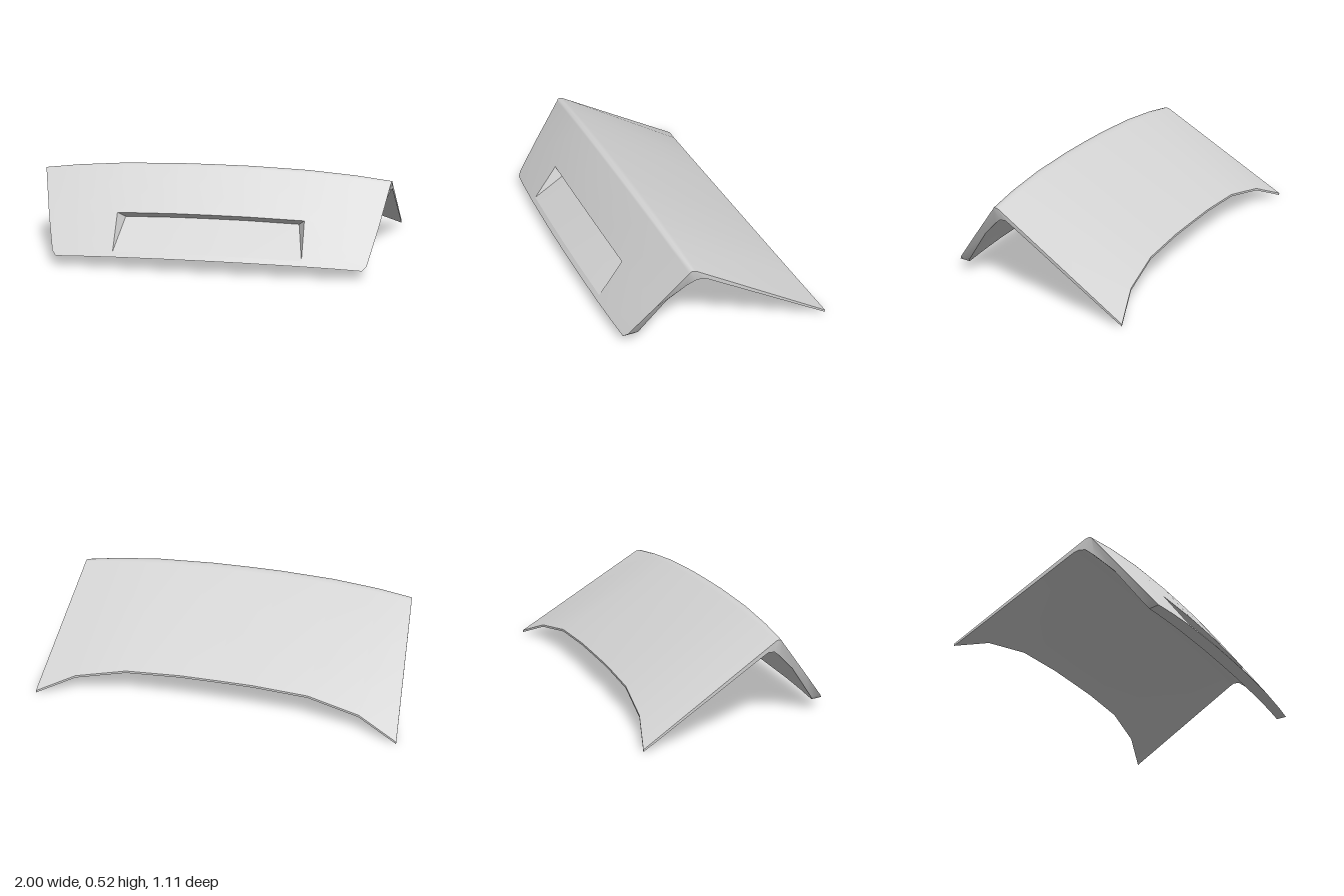
import * as THREE from 'three';
import { toCreasedNormals } from 'three/addons/utils/BufferGeometryUtils.js';

const RECESS_HALF = 0.505;

// Profile rows: [centre z, centre y, edge z, edge y, half width, bow exponent]
const mixRow = (a, b, t, halfWidth) => {
  const row = a.map((v, k) => v + (b[k] - v) * t);
  row[4] = halfWidth;
  return row;
};
const bottom = [0.555, 0.08, 0.525, 0.058, 0.82, 2.5];
const ridgeStart = [0.242, 0.508, 0.217, 0.447, 0.945, 2.5];
const innerBottom = [0.488, 0.07, 0.47, 0.052, 0.815, 2.5];
const innerMid = [0.316, 0.277, 0.31, 0.272, 0.888, 2.5];
const rows = [
  // outer skin, from the lower lip over the ridge to the deck edge
  bottom,
  mixRow(bottom, ridgeStart, 0.058, 0.843),
  mixRow(bottom, ridgeStart, 0.485, 0.893),
  ridgeStart,
  [0.234, 0.517, 0.209, 0.458, 0.949, 2.5],
  [0.212, 0.518, 0.196, 0.46, 0.95, 2.5],
  [0.188, 0.509, 0.181, 0.456, 0.951, 2.5],
  [-0.447, 0.167, -0.557, 0.012, 1, 3.7],
  // inner skin, back to the lower lip; nearly straight from side to side
  [-0.447, 0.155, -0.557, 0, 1, 3.7],
  [0.115, 0.428, 0.115, 0.39, 0.955, 2.5],
  [0.142, 0.434, 0.14, 0.4, 0.95, 2.5],
  [0.18, 0.425, 0.175, 0.397, 0.945, 2.5],
  [0.222, 0.387, 0.217, 0.363, 0.925, 2.5],
  innerMid,
  mixRow(innerBottom, innerMid, 0.12, 0.843),
  innerBottom,
];
const RECESS_LOW = 1, RECESS_TOP = 2;

// Columns: fixed across the recess, then spread out to each row's own width
const half = [
  ...[0, 0.2, RECESS_HALF].map((x) => () => x),
  ...[0.57, 1].map((t) => (w) => RECESS_HALF + (w - RECESS_HALF) * t),
];
const columns = [
  ...half.slice(1).reverse().map((f) => (w) => -f(w)),
  ...half,
];
const recessFirst = 2, recessLast = 6;

function surfacePoint(i, j) {
  const [zc, yc, ze, ye, w, p] = rows[j];
  const x = columns[i](w);
  const bow = Math.pow(Math.abs(x) / w, p);
  return [x, yc + (ye - yc) * bow, zc + (ze - zc) * bow];
}

function buildGeometry(faces) {
  const positions = [];
  for (const f of faces) {
    for (let k = 1; k < f.length - 1; k++) positions.push(...f[0], ...f[k], ...f[k + 1]);
  }
  const g = new THREE.BufferGeometry();
  g.setAttribute('position', new THREE.Float32BufferAttribute(positions, 3));
  return toCreasedNormals(g, 1.0);
}

// Folded shell with an opening left for the recess
function shellFaces() {
  const faces = [];
  for (let j = 0; j < rows.length; j++) {
    const n = (j + 1) % rows.length;
    for (let i = 0; i < columns.length - 1; i++) {
      if (j === RECESS_LOW && i >= recessFirst && i < recessLast) continue;
      faces.push([surfacePoint(i, j), surfacePoint(i + 1, j), surfacePoint(i + 1, n), surfacePoint(i, n)]);
    }
  }
  return faces;
}

// Narrow end strip joining each outer row to its matching inner row
function endFaces(side) {
  const column = side > 0 ? columns.length - 1 : 0;
  const last = rows.length - 1;
  const faces = [];
  for (let j = 0; j < rows.length / 2 - 1; j++) {
    const quad = [j, last - j, last - j - 1, j + 1].map((k) => surfacePoint(column, k));
    faces.push(side > 0 ? quad : quad.reverse());
  }
  return faces;
}

// Wedge-shaped recess: undercut lip, sloping floor, triangular cheeks
function recessFaces() {
  const low = (i) => surfacePoint(i, RECESS_LOW);
  const top = (i) => surfacePoint(i, RECESS_TOP);
  const deep = (i) => {
    const [x, y, z] = top(i);
    return [x * 0.935, y - 0.037, z - 0.054];
  };
  const faces = [];
  for (let i = recessFirst; i < recessLast; i++) {
    faces.push([low(i), low(i + 1), deep(i + 1), deep(i)]);
    faces.push([deep(i), deep(i + 1), top(i + 1), top(i)]);
  }
  faces.push([low(recessFirst), deep(recessFirst), top(recessFirst)]);
  faces.push([low(recessLast), top(recessLast), deep(recessLast)]);
  return faces;
}

export function createModel() {
  const group = new THREE.Group();
  group.name = 'trunkLid';
  const paint = new THREE.MeshStandardMaterial({ color: 0xd4d4d4 });
  paint.name = 'light grey paint';

  const add = (name, faces) => {
    const mesh = new THREE.Mesh(buildGeometry(faces), paint);
    mesh.name = name;
    group.add(mesh);
  };
  add('lidShell', shellFaces());
  add('leftEnd', endFaces(1));
  add('rightEnd', endFaces(-1));
  add('plateRecess', recessFaces());
  return group;
}
